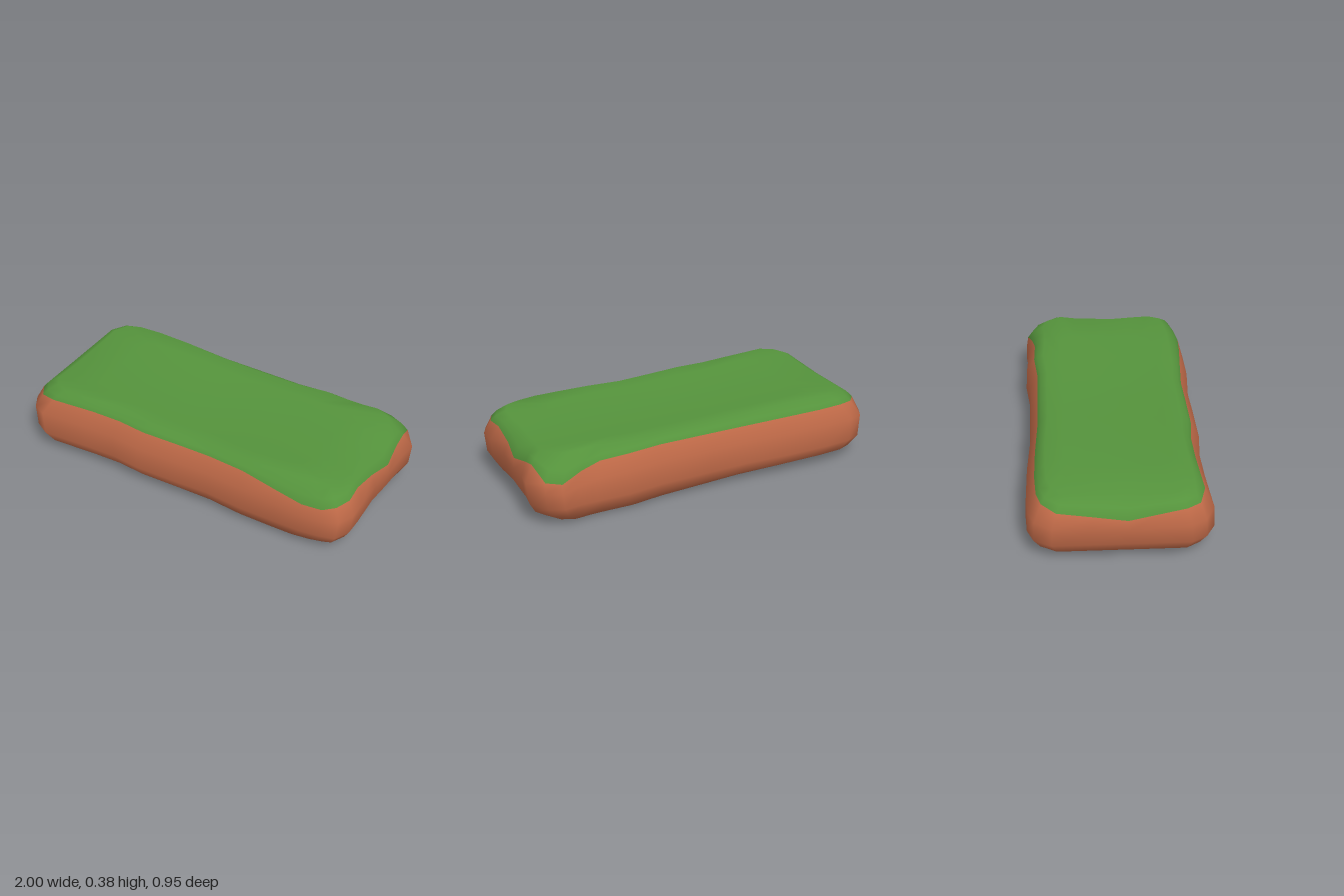
import * as THREE from 'three';

// Plan outline, counter-clockwise from above: x, z, height of the grass edge
const OUTLINE = [
  [-1, 0.35, 0.315], [-0.955, 0.425, 0.315], [-0.87, 0.472, 0.333], [-0.6, 0.452, 0.337],
  [-0.42, 0.445, 0.336], [-0.25, 0.46, 0.335], [0, 0.452, 0.336], [0.18, 0.442, 0.333],
  [0.4, 0.457, 0.334], [0.6, 0.454, 0.308], [0.75, 0.45, 0.285], [0.86, 0.433, 0.283],
  [0.94, 0.41, 0.305], [0.98, 0.33, 0.312], [0.98, 0.22, 0.32], [0.97, 0.05, 0.296],
  [0.98, -0.1, 0.272], [0.985, -0.24, 0.305], [1, -0.34, 0.325], [0.94, -0.44, 0.27],
  [0.86, -0.477, 0.262], [0.76, -0.467, 0.3], [0.66, -0.468, 0.325], [0.5, -0.477, 0.33],
  [0.3, -0.456, 0.33], [0, -0.456, 0.328], [-0.22, -0.456, 0.326], [-0.5, -0.475, 0.33],
  [-0.72, -0.48, 0.33], [-0.87, -0.472, 0.33], [-0.95, -0.44, 0.325], [-1, -0.35, 0.31],
  [-1, -0.15, 0.29], [-1, 0.03, 0.27], [-1, 0.2, 0.295],
];

// Side profile: height, width scale in x, width scale in z
const PROFILE = [
  [0.02, 0.885, 0.85], [0.055, 0.945, 0.92], [0.125, 0.985, 1], [0.25, 1, 0.985],
  [0.31, 0.965, 0.925], [0.345, 0.935, 0.87], [0.38, 0.89, 0.78],
];

function scaleAt(y) {
  let i = 0;
  while (i < PROFILE.length - 2 && y > PROFILE[i + 1][0]) i++;
  const a = PROFILE[i], b = PROFILE[i + 1];
  const t = THREE.MathUtils.clamp((y - a[0]) / (b[0] - a[0]), 0, 1);
  return [a[1] + (b[1] - a[1]) * t, a[2] + (b[2] - a[2]) * t];
}

// Gentle waves of the upper and lower faces
const topY = (x, z) => 0.362 + 0.017 * (z / 0.38) ** 2 + 0.006 * Math.cos(4.5 * (x + 0.6));
const bottomY = (x, z) => 0.013 + 0.013 * (z / 0.4) ** 2 - 0.012 * Math.sin(2.6 * x);

export function createModel() {
  const soil = new THREE.MeshStandardMaterial({ color: 0xc06a48 });
  soil.name = 'soil';
  const grass = new THREE.MeshStandardMaterial({ color: 0x55933c });
  grass.name = 'grass';

  const n = OUTLINE.length;
  const positions = [], index = [];

  // Flat faces: shrunken outlines that follow the waves
  const capRing = (surface, level, s) => OUTLINE.forEach(([ox, oz]) => {
    const x = ox * level[1] * s, z = oz * level[2] * s;
    positions.push(x, surface(x, z), z);
  });
  // Walls: outline scaled by the profile at each column's height
  const wallRing = (height) => OUTLINE.forEach(([ox, oz, edge]) => {
    const y = height(edge);
    const [sx, sz] = scaleAt(y);
    positions.push(ox * sx, y, oz * sz);
  });

  const low = PROFILE[0], high = PROFILE[PROFILE.length - 1];
  positions.push(0, bottomY(0, 0), 0);
  for (const s of [0.35, 0.7, 1]) capRing(bottomY, low, s);
  wallRing(() => 0.06);
  wallRing(() => 0.125);
  wallRing((edge) => 0.125 + (edge - 0.125) * 0.6);
  wallRing((edge) => edge); // where soil meets grass
  const seam = 6;
  wallRing((edge) => edge + (0.372 - edge) * 0.5);
  for (const s of [1, 0.75, 0.5, 0.25]) capRing(topY, high, s);
  const rings = (positions.length / 3 - 1) / n;
  const topCentre = positions.length / 3;
  positions.push(0, topY(0, 0), 0);

  // Join the rings from the bottom centre to the top centre
  const id = (ring, i) => 1 + ring * n + (i % n);
  let soilCount = 0;
  for (let i = 0; i < n; i++) index.push(0, id(0, i + 1), id(0, i));
  for (let r = 0; r < rings - 1; r++) {
    if (r === seam) soilCount = index.length;
    for (let i = 0; i < n; i++) {
      const a = id(r, i), b = id(r, i + 1), c = id(r + 1, i + 1), d = id(r + 1, i);
      index.push(a, b, c, a, c, d);
    }
  }
  for (let i = 0; i < n; i++) index.push(id(rings - 1, i), id(rings - 1, i + 1), topCentre);

  const geometry = new THREE.BufferGeometry();
  geometry.setAttribute('position', new THREE.Float32BufferAttribute(positions, 3));
  geometry.setIndex(index);
  geometry.addGroup(0, soilCount, 0);
  geometry.addGroup(soilCount, index.length - soilCount, 1);
  geometry.computeVertexNormals();

  const slab = new THREE.Mesh(geometry, [soil, grass]);
  slab.name = 'grassySoilSlab';
  const group = new THREE.Group();
  group.name = 'groundPlatform';
  group.add(slab);
  return group;
}
